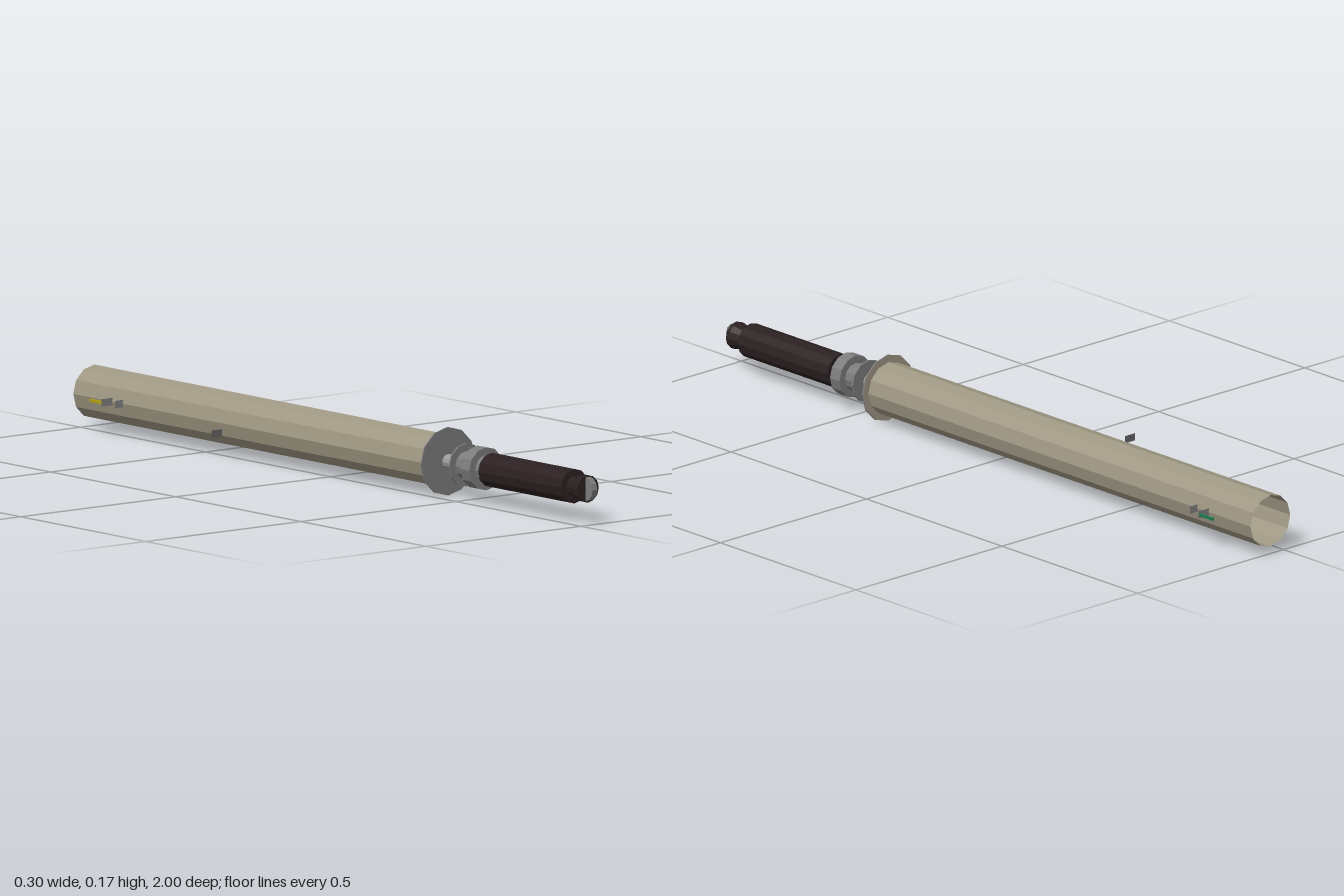
import * as THREE from 'three';

const CX = 0.045, CY = 0.089, SIDES = 12;

const mat = (name, color, extra = {}) => {
  const m = new THREE.MeshStandardMaterial({ color, flatShading: true, ...extra });
  m.name = name;
  return m;
};

export function createModel() {
  const group = new THREE.Group();
  const beige = mat('beige', 0x9e9783, { side: THREE.DoubleSide });
  const beigeBack = beige;
  const steel = mat('steel', 0x7c7c7c);
  const darkSteel = mat('dark steel', 0x646464, { side: THREE.DoubleSide });
  const plateGrey = mat('plate grey', 0x808080, { side: THREE.DoubleSide });
  const shaftGrey = mat('light steel', 0x9c9c9c);
  const brown = mat('dark brown', 0x2b2021);
  const yellow = mat('yellow', 0xb3a310);
  const green = mat('green', 0x1f7a50);

  const add = (name, geometry, material, x = CX, y = CY, z = 0) => {
    const mesh = new THREE.Mesh(geometry, material);
    mesh.name = name;
    mesh.position.set(x, y, z);
    group.add(mesh);
    return mesh;
  };
  // Turned part along z, from [radius, z] pairs in rising z
  const turned = (name, profile, material) => add(name,
    new THREE.LatheGeometry(profile.map(([r, z]) => new THREE.Vector2(r, z)), SIDES).rotateX(Math.PI / 2), material);

  // Long hollow tube, open at the back
  turned('tube', [[0.068, -1], [0.068, 0.412]], beige);

  // Flange closing the tube: beige behind, steel in front
  turned('flangeBack', [[0, 0.41], [0.087, 0.41]], beigeBack);
  turned('flangeFront', [[0.087, 0.41], [0.087, 0.414], [0, 0.414]], steel);

  // Neck and stepped collar
  turned('shaft', [[0.019, 0.414], [0.019, 0.49]], shaftGrey);
  turned('collar', [
    [0, 0.482], [0.055, 0.482], [0.055, 0.487], [0.036, 0.487], [0.036, 0.531],
    [0.055, 0.531], [0.055, 0.566], [0.036, 0.566], [0.036, 0.58], [0.03, 0.592],
  ], steel);

  // Grip and flared end cap
  turned('grip', [[0, 0.588], [0.044, 0.588], [0.044, 0.918], [0, 0.918]], brown);
  turned('endCap', [[0.026, 0.915], [0.026, 0.925], [0.035, 0.962], [0.035, 0.972], [0, 0.972]], brown);

  // Upright disc set into the end cap
  add('endDisc', new THREE.CylinderGeometry(0.031, 0.031, 0.016, SIDES).rotateZ(Math.PI / 2), steel, CX, CY, 0.969);

  // Mirrored pair of lugs near the back, each with a coloured strip
  for (const side of [-1, 1]) {
    const lug = (name, reach, z) => {
      const inner = 0.064;
      add(name, new THREE.PlaneGeometry(reach - inner, 0.019), plateGrey,
        CX + side * (inner + reach) / 2, CY, z);
    };
    lug('frontLug', 0.092, -0.803);
    lug('rearLug', 0.102, -0.845);
    add('colourStrip', new THREE.BoxGeometry(0.006, 0.007, 0.05),
      side > 0 ? green : yellow, CX + side * 0.098, CY, -0.87);
  }

  // Small detached plate beside the tube
  add('sidePlate', new THREE.PlaneGeometry(0.034, 0.019), darkSteel, -0.133, CY, -0.29);

  return group;
}
